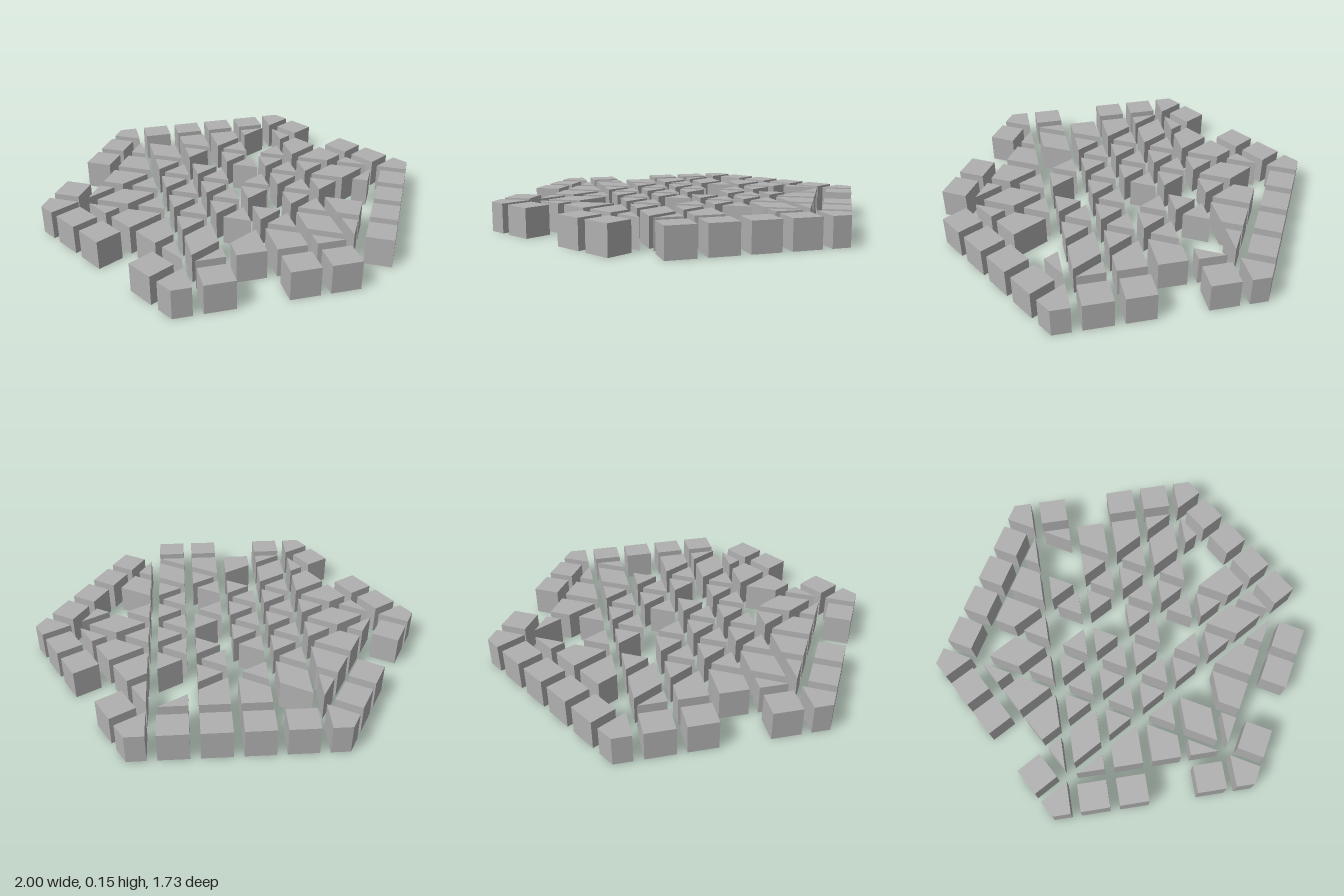
import * as THREE from 'three';

const HEIGHT = 0.147;
const PITCH = 0.1925;    // spacing of the parallel grooves
const HALF_GAP = 0.024;  // half the groove width
const INNER = 0.678;     // apothem of the inner field
const RIM = 0.731;       // apothem where the rim starts
const KITE = 2 * PITCH + HALF_GAP;

const dir = (deg) => [Math.cos(deg * Math.PI / 180), Math.sin(deg * Math.PI / 180)];
const dot = (a, b) => a[0] * b[0] + a[1] * b[1];

// Hexagon in plan (x, z) with corners on the x axis
const hexagon = (apothem) =>
  [0, 60, 120, 180, 240, 300].map((a) => dir(a).map((v) => v * apothem / Math.cos(Math.PI / 6)));

// Keep the part of a convex polygon where p.n >= d
function clip(poly, n, d) {
  const out = [];
  poly.forEach((p, i) => {
    const q = poly[(i + 1) % poly.length];
    const a = dot(p, n) - d, b = dot(q, n) - d;
    if (a >= 0) out.push(p);
    if ((a >= 0) !== (b >= 0)) {
      const t = a / (a - b);
      out.push([p[0] + (q[0] - p[0]) * t, p[1] + (q[1] - p[1]) * t]);
    }
  });
  return out;
}

// Keep the strip number k (from -3 to 2) between two grooves; end strips are open
function clipStrip(poly, n, k) {
  let out = poly;
  if (k > -3) out = clip(out, n, k * PITCH + HALF_GAP);
  if (k < 2) out = clip(out, [-n[0], -n[1]], -((k + 1) * PITCH - HALF_GAP));
  return out;
}

function area(poly) {
  let s = 0;
  poly.forEach((p, i) => {
    const q = poly[(i + 1) % poly.length];
    s += p[0] * q[1] - p[1] * q[0];
  });
  return Math.abs(s) / 2;
}

function contains(poly, spot) {
  return poly.every((p, i) => {
    const q = poly[(i + 1) % poly.length];
    return (q[0] - p[0]) * (spot[1] - p[1]) - (q[1] - p[1]) * (spot[0] - p[0]) >= 0;
  });
}

// Plan positions of the empty places
const EMPTY = [
  [-0.10, 0.80], [0.45, 0.78], [0.64, -0.48], [-0.74, -0.31], [-0.64, 0.48],  // rim
  [0.285, -0.50], [-0.255, -0.645], [0.56, 0.21],                             // large cells
  [-0.064, -0.333], [0.064, -0.111], [0.128, 0.222], [-0.128, 0.444],         // triangles
];

export function createModel() {
  const model = new THREE.Group();
  const stone = new THREE.MeshStandardMaterial({ color: 0xb0b0b0 });

  function addBlock(group, poly, name) {
    if (poly.length < 3 || area(poly) < 0.0004) return;
    if (EMPTY.some((spot) => contains(poly, spot))) return;
    const shape = new THREE.Shape(poly.map(([x, z]) => new THREE.Vector2(x, -z)));
    const geo = new THREE.ExtrudeGeometry(shape, { depth: HEIGHT, bevelEnabled: false });
    geo.rotateX(-Math.PI / 2);
    const mesh = new THREE.Mesh(geo, stone);
    mesh.name = name;
    group.add(mesh);
  }

  // Inner field: a hexagon cut by three sets of five grooves
  const field = new THREE.Group();
  field.name = 'innerField';
  for (let a = -3; a <= 2; a++) {
    for (let b = -3; b <= 2; b++) {
      for (let c = -3; c <= 2; c++) {
        let poly = clipStrip(hexagon(INNER), dir(0), a);
        poly = clipStrip(poly, dir(60), b);
        poly = clipStrip(poly, dir(-60), c);
        addBlock(field, poly, 'fieldBlock');
      }
    }
  }

  // Rim: four blocks along each side and a kite at each corner
  const rim = new THREE.Group();
  rim.name = 'rim';
  const outer = hexagon(Math.cos(Math.PI / 6));
  for (let s = 0; s < 360; s += 60) {
    const side = clip(outer, dir(s + 30), RIM);
    for (let k = -2; k <= 1; k++) {
      addBlock(rim, clipStrip(side, dir(s + 120), k), 'rimBlock');
    }
    addBlock(rim, clip(clip(outer, dir(s + 60), KITE), dir(s - 60), KITE), 'cornerBlock');
  }

  model.add(field, rim);
  return model;
}
